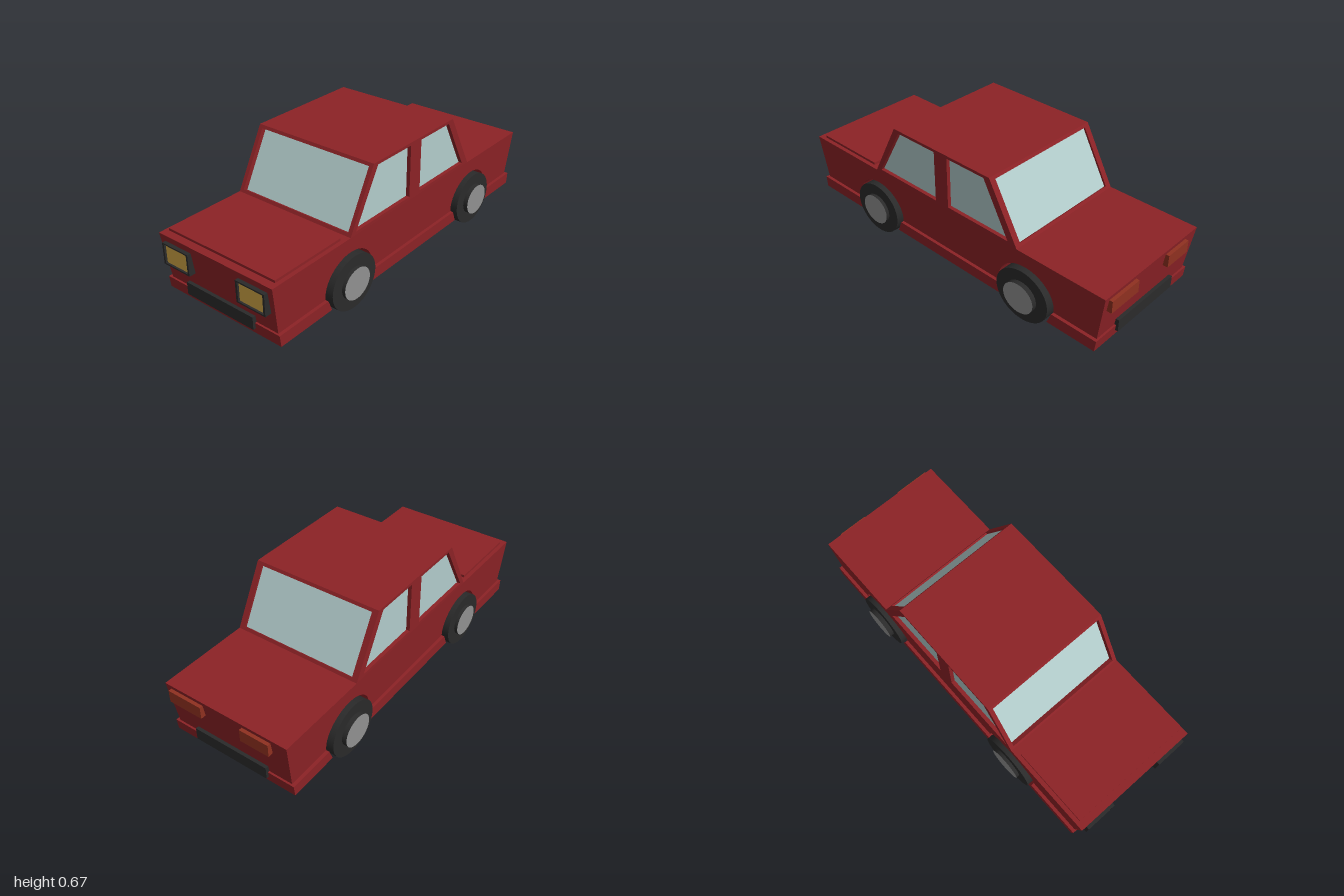
import * as THREE from 'three';

const paint = (color) => new THREE.MeshStandardMaterial({ color });
const RED = paint(0x8c2226), DARK = paint(0x2a2a2a), GLASS = paint(0xb2cccb);
const HUB = paint(0x909090), LAMP = paint(0xcda445), TAIL = paint(0x8f3020);

const HALF = 0.352;                     // half width of the body
const AXLES = [0.48, -0.54], AXLE_Y = 0.14;
const ARCH = { rz: 0.168, ry: 0.152 };  // wheel arch radii
const CAB = { y0: 0.37, y1: 0.675, front: 0.485, back: -0.49, top: 0.32 };

const poly = (pts) => new THREE.Shape(pts.map(([a, b]) => new THREE.Vector2(a, b)));

// Extrude a side profile, given as (z, y), across x from x0 to x1
function across(shape, x0, x1) {
  const g = new THREE.ExtrudeGeometry(shape, { depth: x1 - x0, bevelEnabled: false });
  return g.rotateY(-Math.PI / 2).translate(x1, 0, 0);
}

export function createModel() {
  const car = new THREE.Group();
  car.name = 'car';
  const add = (name, geometry, material, parent = car) => {
    const m = new THREE.Mesh(geometry, material);
    m.name = name;
    parent.add(m);
    return m;
  };
  const box = (name, x0, x1, y0, y1, z0, z1, material) =>
    add(name, new THREE.BoxGeometry(x1 - x0, y1 - y0, z1 - z0)
      .translate((x0 + x1) / 2, (y0 + y1) / 2, (z0 + z1) / 2), material);

  // Lower body: side profile with wheel arches, narrowing towards the bottom
  const yb = 0.12, a0 = Math.asin((yb - AXLE_Y) / ARCH.ry);
  const outline = [[0.985, 0.37], [-0.985, 0.37], [-0.95, yb]];
  for (const z of [...AXLES].reverse()) {
    for (let i = 0; i <= 32; i++) {
      const a = Math.PI - a0 + (2 * a0 - Math.PI) * i / 32;
      outline.push([z + ARCH.rz * Math.cos(a), AXLE_Y + ARCH.ry * Math.sin(a)]);
    }
  }
  outline.push([0.95, yb]);
  const body = across(poly(outline), -HALF, HALF);
  const p = body.attributes.position;
  for (let i = 0; i < p.count; i++) {
    p.setX(i, p.getX(i) * (0.96 + 0.04 * (p.getY(i) - yb) / 0.25));
  }
  body.computeVertexNormals();
  add('body', body, RED);

  // Skirt: three lengths between the arches
  const reach = (y) => ARCH.rz * Math.sqrt(1 - ((y - AXLE_Y) / ARCH.ry) ** 2);
  const lo = reach(0.06), hi = reach(yb), [zf, zr] = AXLES;
  [
    [[0.953, 0.06], [0.96, yb], [zf + hi, yb], [zf + lo, 0.06]],
    [[zf - lo, 0.06], [zf - hi, yb], [zr + hi, yb], [zr + lo, 0.06]],
    [[zr - lo, 0.06], [zr - hi, yb], [-0.96, yb], [-0.953, 0.06]],
  ].forEach((pts) => add('skirt', across(poly(pts), -0.355, 0.355), RED));

  // Bonnet panel
  box('bonnetPanel', -0.33, 0.33, 0.365, 0.383, 0.53, 0.945, RED);

  // Cabin sides with window openings
  const inner = HALF - 0.02;
  const side = poly([[CAB.front, CAB.y0], [CAB.top, CAB.y1], [-CAB.top, CAB.y1], [CAB.back, CAB.y0]]);
  side.holes.push(
    poly([[0.447, 0.387], [0.037, 0.387], [0.037, 0.66], [0.29, 0.66]]),
    poly([[-0.048, 0.387], [-0.435, 0.387], [-0.285, 0.66], [-0.048, 0.66]]));
  add('cabinSideLeft', across(side, inner, HALF), RED);
  add('cabinSideRight', across(side, -HALF, -inner), RED);
  box('roof', -inner, inner, 0.655, CAB.y1, -CAB.top, CAB.top, RED);

  // Sloping frames around the windscreen and rear window
  function slopeFrame(name, baseZ, halfHole, depth, turn) {
    const run = baseZ - CAB.top, rise = CAB.y1 - CAB.y0;
    const len = Math.hypot(run, rise), k = len / rise;
    const s = poly([[-inner, 0], [inner, 0], [inner, len], [-inner, len]]);
    const v0 = 0.015 * k, v1 = 0.29 * k;
    s.holes.push(poly([[-halfHole, v0], [halfHole, v0], [halfHole, v1], [-halfHole, v1]]));
    const g = new THREE.ExtrudeGeometry(s, { depth, bevelEnabled: false });
    g.translate(0, 0, -depth).rotateX(-Math.atan2(run, rise)).translate(0, CAB.y0, baseZ);
    add(name, g.rotateY(turn), RED);
    return depth * k;
  }
  const inF = slopeFrame('windscreenFrame', CAB.front, 0.33, 0.025, 0);
  const inR = slopeFrame('rearWindowFrame', -CAB.back, 0.32, 0.01, Math.PI);

  // Window glass: one block set just inside the frames
  const sl = (base, y) => base + (CAB.top - base) * (y - CAB.y0) / (CAB.y1 - CAB.y0);
  add('windowGlass', across(poly([
    [CAB.front - inF, CAB.y0], [sl(CAB.front, 0.665) - inF, 0.665],
    [-sl(-CAB.back, 0.665) + inR, 0.665], [CAB.back + inR, CAB.y0],
  ]), -inner, inner), GLASS);

  // Headlights: dark surround with a recessed lens
  for (const s of [1, -1]) {
    const rim = poly([[-0.085, -0.056], [0.085, -0.056], [0.085, 0.056], [-0.085, 0.056]]);
    rim.holes.push(poly([[-0.074, -0.049], [0.074, -0.049], [0.074, 0.049], [-0.074, 0.049]]));
    const g = new THREE.ExtrudeGeometry(rim, { depth: 0.045, bevelEnabled: false });
    add('headlightSurround', g.translate(s * 0.234, 0.281, 0.955), DARK);
    box('headlightLens', s * 0.234 - 0.075, s * 0.234 + 0.075, 0.232, 0.33, 0.955, 0.99, LAMP);
  }

  // Tail lights
  box('tailLightLeft', 0.127, 0.32, 0.285, 0.35, -1, -0.95, TAIL);
  box('tailLightRight', -0.262, -0.102, 0.285, 0.35, -1, -0.95, TAIL);

  // Bumpers
  box('frontBumper', -0.21, 0.21, 0.09, 0.155, 0.93, 0.972, DARK);
  box('rearBumper', -0.21, 0.21, 0.09, 0.155, -0.972, -0.93, DARK);

  // Wheels: one wide roller per axle with a stepped hub at each end
  const roller = (r, w) => new THREE.CylinderGeometry(r, r, w, 48).rotateZ(Math.PI / 2);
  for (const z of AXLES) {
    const wheels = new THREE.Group();
    wheels.name = z > 0 ? 'frontWheels' : 'rearWheels';
    wheels.position.set(0, AXLE_Y, z);
    wheels.scale.set(1, 0.9, 1);
    car.add(wheels);
    add('tyres', roller(0.155, 0.74), DARK, wheels);
    const end = z > 0 ? 0.388 : 0.395;
    for (const s of [1, -1]) {
      const hub = add('hub', roller(0.09, end - 0.36), [DARK, HUB, HUB], wheels);
      hub.position.x = s * (end + 0.36) / 2;
    }
  }
  return car;
}
